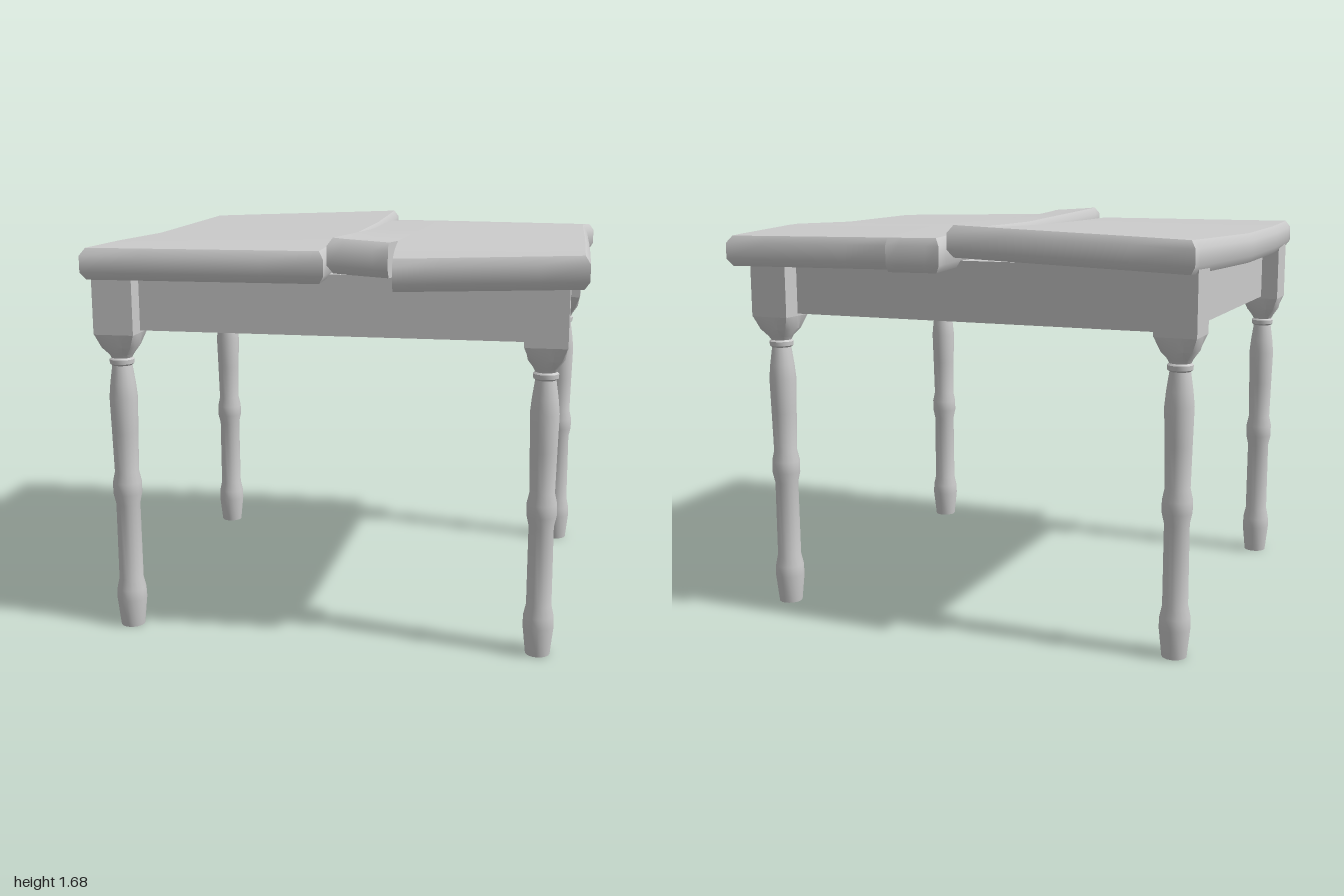
import * as THREE from 'three';
import { toCreasedNormals } from 'three/addons/utils/BufferGeometryUtils.js';

const mat = new THREE.MeshStandardMaterial({ color: 0xcccccc });
const lerp = THREE.MathUtils.lerp;

// Piecewise linear value from [z, value] pairs in rising z; a plain number is constant
function at(curve, z) {
  if (typeof curve === 'number') return curve;
  for (let i = 1; i < curve.length; i++) {
    const [z0, v0] = curve[i - 1], [z1, v1] = curve[i];
    if (z <= z1) return lerp(v0, v1, THREE.MathUtils.clamp((z - z0) / (z1 - z0), 0, 1));
  }
  return curve[curve.length - 1][1];
}

function add(parent, name, geo) {
  const mesh = new THREE.Mesh(geo, mat);
  mesh.name = name;
  parent.add(mesh);
  return mesh;
}

// Warped plank: side edges and top height follow curves along z, outer edges are bevelled
function plank({ xl, xr, topL, topR, back, front, bevelL = 1, bevelR = 1, thick = 0.125 }) {
  const geo = new THREE.BoxGeometry(1, 1, 1, 4, 3, 28);
  const p = geo.attributes.position;
  const drops = [thick, thick - 0.03, 0.03, 0];
  for (let i = 0; i < p.count; i++) {
    const s = p.getX(i) + 0.5, t = p.getZ(i) + 0.5;
    const row = Math.round((p.getY(i) + 0.5) * 3);
    const inset = row === 0 || row === 3 ? 0.02 : 0;
    let z = lerp(lerp(back[0], back[1], s), lerp(front[0], front[1], s), t);
    let x = lerp(at(xl, z), at(xr, z), s);
    const y = lerp(at(topL, z), at(topR, z), s) - drops[row];
    if (s < 0.001) x += inset * bevelL;
    if (s > 0.999) x -= inset * bevelR;
    if (t < 0.001) z += inset;
    if (t > 0.999) z -= inset;
    p.setXYZ(i, x, y, z);
  }
  return toCreasedNormals(geo, 0.65);
}

// Turned leg: lathe whose top rows are drawn out from round to square
function legGeometry() {
  const profile = [
    [0, 0], [0.05, 0], [0.063, 0.12], [0.061, 0.165], [0.051, 0.21], [0.05, 0.54],
    [0.06, 0.585], [0.06, 0.635], [0.05, 0.68], [0.054, 0.85], [0.058, 1.0],
    [0.052, 1.06], [0.041, 1.135], [0.05, 1.142], [0.051, 1.16], [0.043, 1.167],
    [0.05, 1.182], [0.073, 1.215], [0.083, 1.272]
  ].map(([r, y]) => new THREE.Vector2(r, y));
  const geo = new THREE.LatheGeometry(profile, 16);
  const p = geo.attributes.position;
  for (let i = 0; i < p.count; i++) {
    const x = p.getX(i), y = p.getY(i), z = p.getZ(i);
    const square = THREE.MathUtils.clamp((y - 1.17) / 0.1, 0, 1);
    if (square === 0) continue;
    const k = lerp(1, Math.hypot(x, z) / Math.max(Math.abs(x), Math.abs(z)), square);
    p.setXYZ(i, x * k, y, z * k);
  }
  return toCreasedNormals(geo, 0.5);
}

export function createModel() {
  const table = new THREE.Group();
  table.name = 'table';

  // Table top: two warped boards, the right one split near its front
  const top = new THREE.Group();
  top.name = 'tableTop';
  table.add(top);
  add(top, 'leftBoard', plank({
    xl: [[-0.92, -0.985], [0.5, -0.997], [0.94, -0.972]],
    xr: [[-0.92, -0.003], [-0.4, -0.008], [0.5, -0.018], [0.94, 0.003]],
    topL: [[-0.92, 1.635], [0, 1.615], [0.94, 1.63]],
    topR: [[-0.92, 1.672], [-0.45, 1.645], [0, 1.635], [0.94, 1.632]],
    back: [-0.922, -0.92], front: [0.942, 0.934]
  }));
  const split = 0.68;
  const seamTop = [[-0.95, 1.62], [-0.5, 1.65], [0, 1.648], [split, 1.655]];
  add(top, 'splitStrip', plank({
    xl: [[-0.95, 0.015], [-0.4, 0.002], [0.2, 0.012], [0.92, 0.014]],
    xr: 0.248,
    topL: [[-0.95, 1.622], [-0.5, 1.648], [0, 1.648], [0.92, 1.683]],
    topR: [...seamTop, [0.92, 1.668]],
    back: [-0.955, -0.952], front: [0.92, 0.92], bevelR: 0, thick: 0.135
  }));
  add(top, 'rightBoard', plank({
    xl: [[split, 0.248], [0.94, 0.268]],
    xr: [[-0.95, 0.998], [-0.48, 0.968], [0.1, 0.985], [0.93, 0.998]],
    topL: [...seamTop, [0.8, 1.64], [0.94, 1.61]],
    topR: [[-0.95, 1.612], [-0.5, 1.643], [0, 1.632], [0.6, 1.642], [0.94, 1.632]],
    back: [-0.952, -0.945], front: [0.946, 0.928], bevelL: 0
  }));

  // Legs, each with a square block on top
  const legGeo = legGeometry();
  const blockGeo = new THREE.BoxGeometry(0.168, 0.255, 0.168);
  const legs = [
    ['frontRightLeg', -0.89, 0.745], ['frontLeftLeg', 0.842, 0.745],
    ['backRightLeg', -0.893, -0.755], ['backLeftLeg', 0.862, -0.77]
  ];
  for (const [name, x, z] of legs) {
    const leg = new THREE.Group();
    leg.name = name;
    leg.position.set(x, 0, z);
    add(leg, 'turnedPost', legGeo);
    add(leg, 'cornerBlock', blockGeo).position.y = 1.398;
    table.add(leg);
  }

  // Apron rails, flush with the inner faces of the blocks
  const rail = (name, w, d, x, z) =>
    add(table, name, new THREE.BoxGeometry(w, 0.245, d)).position.set(x, 1.4025, z);
  rail('frontApron', 1.66, 0.09, -0.02, 0.702);
  rail('backApron', 1.66, 0.09, -0.02, -0.722);
  rail('leftApron', 0.09, 1.42, 0.812, -0.01);
  rail('rightApron', 0.09, 1.42, -0.852, -0.01);

  return table;
}
